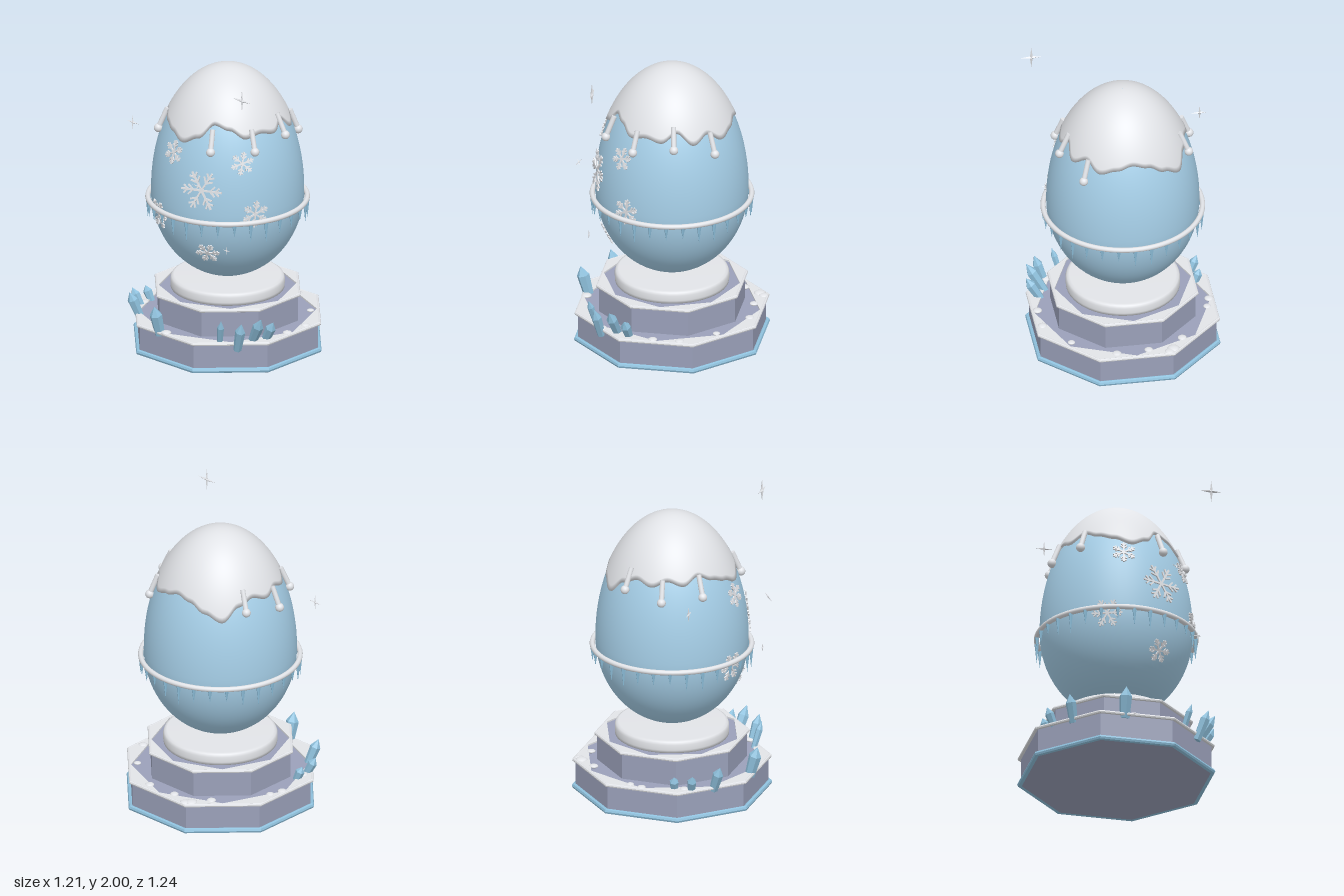
import * as THREE from 'three';
import { ParametricGeometry } from 'three/addons/geometries/ParametricGeometry.js';

const paint = (name, color, extra = {}) => {
  const m = new THREE.MeshStandardMaterial({ color, ...extra });
  m.name = name;
  return m;
};
const snow = paint('snow white', 0xe6e8ec);
const snowSheet = snow;
snowSheet.side = THREE.DoubleSide;
const eggBlue = paint('egg blue', 0xa6cfe8);
const ice = paint('ice blue', 0x8fc1dd, { flatShading: true });
const stone = paint('slate lilac', 0x9aa0b9, { flatShading: true });

const UP = new THREE.Vector3(0, 1, 0);
const FRONT = new THREE.Vector3(0, 0, 1);
const V = (x, y, z) => new THREE.Vector3(x, y, z);
const COS8 = Math.cos(Math.PI / 8);
const MID = 1.05; // height of the egg's widest ring

function add(parent, name, geometry, material, x = 0, y = 0, z = 0) {
  const m = new THREE.Mesh(geometry, material);
  m.name = name;
  m.position.set(x, y, z);
  parent.add(m);
  return m;
}

// Point on the egg: angle a from the tip, heading t (0 = front), swollen by d
function eggPoint(a, t, d = 0) {
  const r = (0.495 + d) * Math.sin(a);
  const y = MID + ((Math.cos(a) > 0 ? 0.85 : 0.575) + d) * Math.cos(a);
  return V(r * Math.sin(t), y, r * Math.cos(t));
}
const eggAngle = (y) => Math.acos((y - MID) / (y > MID ? 0.85 : 0.575));

function eggNormal(p) {
  const h = p.y > MID ? 0.85 : 0.575;
  return V(p.x / 0.245, (p.y - MID) / (h * h), p.z / 0.245).normalize();
}

// Octagonal ring, flat sides facing the axes
function octTrim(parent, name, apothem, tube, y, material) {
  const g = new THREE.TorusGeometry((apothem - tube) / COS8, tube, 8, 8);
  g.rotateZ(Math.PI / 8).rotateX(Math.PI / 2);
  add(parent, name, g.toNonIndexed(), material, 0, y).geometry.computeVertexNormals();
}

// One tier: stone drum, white edge and a snow sheet with a turned octagon hole
function tier(parent, name, apothem, rim, y0, y1) {
  const g = new THREE.CylinderGeometry(apothem / COS8, apothem / COS8, y1 - y0, 8);
  add(parent, name, g.rotateY(Math.PI / 8), stone, 0, (y0 + y1) / 2);
  octTrim(parent, name + 'SnowEdge', rim, 0.012, y1, snow);
  const ring = (r, turn) => Array.from({ length: 8 }, (_, i) => {
    const a = i * Math.PI / 4 + turn;
    return new THREE.Vector2(r * Math.cos(a), r * Math.sin(a));
  });
  const s = new THREE.Shape(ring((rim - 0.008) / COS8, Math.PI / 8));
  s.holes.push(new THREE.Path(ring(rim - 0.02, 0)));
  const sheet = new THREE.ExtrudeGeometry(s, { depth: 0.01, bevelEnabled: false });
  add(parent, name + 'SnowSheet', sheet.rotateX(-Math.PI / 2), snow, 0, y1);
}

// Six-armed snowflake lying on the egg
function snowflake(parent, t, y, size, spin) {
  const g = new THREE.Group();
  g.name = 'snowflake';
  const w = 0.007 + size * 0.04;
  for (let i = 0; i < 6; i++) {
    const arm = new THREE.Group();
    arm.rotation.z = i * Math.PI / 3 + spin;
    add(arm, 'flakeArm', new THREE.BoxGeometry(size, w, 0.009), snow, size / 2);
    for (const at of [0.42, 0.68]) for (const side of [-1, 1]) {
      const len = size * (at < 0.5 ? 0.34 : 0.28);
      const b = new THREE.BoxGeometry(len, w * 0.85, 0.009).translate(len / 2, 0, 0);
      add(arm, 'flakeBranch', b, snow, size * at).rotation.z = side * Math.PI / 4;
    }
    g.add(arm);
  }
  const p = eggPoint(eggAngle(y), t);
  const n = eggNormal(p);
  g.position.copy(p).addScaledVector(n, 0.006);
  g.lookAt(g.position.clone().add(n));
  parent.add(g);
}

function rod(parent, name, a, b, radius, material) {
  const d = b.clone().sub(a);
  const g = new THREE.CylinderGeometry(radius, radius, d.length(), 12);
  const m = add(parent, name, g, material);
  m.position.copy(a).add(b).multiplyScalar(0.5);
  m.quaternion.setFromUnitVectors(UP, d.normalize());
}

export function createModel() {
  const model = new THREE.Group();
  model.name = 'frostedEgg';
  const core = new THREE.Group();
  core.name = 'eggAndPedestal';
  core.position.set(-0.004, 0, -0.018);
  model.add(core);

  // Pedestal
  tier(core, 'lowerTier', 0.575, 0.597, 0.005, 0.2);
  tier(core, 'upperTier', 0.447, 0.466, 0.2, 0.38);
  octTrim(core, 'footTrim', 0.6, 0.018, 0.018, ice);
  const disc = [[0, 0.38], [0.368, 0.38], [0.37, 0.4], [0.37, 0.435], [0.362, 0.453], [0.345, 0.46], [0, 0.46]];
  add(core, 'snowDisc', new THREE.LatheGeometry(disc.map(p => new THREE.Vector2(...p)), 48), snow);

  // Egg
  const profile = Array.from({ length: 49 }, (_, i) => {
    const p = eggPoint(Math.PI * (1 - i / 48), 0);
    return new THREE.Vector2(Math.max(p.z, 0), p.y);
  });
  add(core, 'egg', new THREE.LatheGeometry(profile, 64), eggBlue);

  // Snow cap with a wavy edge, heights every 15 degrees from the front
  const edge = [1.49, 1.535, 1.625, 1.595, 1.54, 1.56, 1.54, 1.6, 1.52, 1.57, 1.51, 1.54,
    1.57, 1.545, 1.49, 1.44, 1.53, 1.57, 1.54, 1.58, 1.55, 1.6, 1.56, 1.53];
  const edgeY = (u) => {
    const f = (u % 1) * 24, i = Math.floor(f), k = (1 - Math.cos((f - i) * Math.PI)) / 2;
    return edge[i % 24] * (1 - k) + edge[(i + 1) % 24] * k;
  };
  const cap = new ParametricGeometry((u, v, target) => {
    const a = eggAngle(edgeY(u)) * (1 - Math.min(Math.max(v - 0.04, 0) / 0.96, 0.998));
    target.copy(eggPoint(a, u * Math.PI * 2, v < 0.04 ? 0.014 * v / 0.04 - 0.002 : 0.012));
  }, 144, 25);
  add(core, 'snowCap', cap, snowSheet);

  // Drips: a rod down the shell ending in a bead
  for (const [x, y, z] of [[0.215, 1.46, 0.37], [0.4, 1.455, 0.16], [0.42, 1.5, -0.105], [0.3, 1.44, -0.345],
    [-0.395, 1.49, -0.195], [-0.437, 1.45, 0.065], [-0.3, 1.47, 0.29]]) {
    const t = Math.atan2(x, z + 0.018);
    const low = eggPoint(eggAngle(y), t, 0.02), high = eggPoint(eggAngle(y + 0.135), t, 0.018);
    rod(core, 'dripRod', low, high, 0.017, snow);
    add(core, 'dripBead', new THREE.SphereGeometry(0.029, 16, 12), snow, ...low.toArray());
  }

  // Belt with hanging icicles
  const belt = new THREE.TorusGeometry(0.515, 0.017, 12, 72).rotateX(Math.PI / 2);
  add(core, 'belt', belt, snow, 0, 1.0);
  for (let i = 0; i < 30; i++) {
    const t = i * Math.PI / 15, len = [0.125, 0.1, 0.08, 0.14, 0.09][(i * 3) % 5];
    const g = new THREE.ConeGeometry(0.015, len, 6).rotateX(Math.PI);
    add(core, 'icicle', g, ice, 0.515 * Math.sin(t), 0.992 - len / 2, 0.515 * Math.cos(t));
  }

  // Snowflakes: heading in degrees, height, size, spin
  for (const [deg, y, size, spin] of [[-7, 1.415, 0.08, 0.5], [55, 1.395, 0.078, 0.3], [23, 1.215, 0.138, 0],
    [-20, 0.965, 0.1, 0], [26, 0.77, 0.08, 0.1], [64, 1.055, 0.09, 0.4]]) {
    snowflake(core, deg * Math.PI / 180, y, size, spin);
  }

  // Ice crystals: foot, tip, radius
  for (const [foot, tip, r] of [
    [[0.5, 0.18, 0.17], [0.595, 0.34, 0.19], 0.034], [[0.46, 0.18, 0.25], [0.58, 0.385, 0.29], 0.036],
    [[0.44, 0.16, 0.365], [0.51, 0.365, 0.4], 0.034], [[0.335, 0.19, 0.42], [0.385, 0.37, 0.46], 0.023],
    [[-0.08, 0.18, 0.54], [-0.08, 0.385, 0.595], 0.042], [[-0.385, 0.18, 0.4], [-0.425, 0.355, 0.46], 0.035],
    [[-0.48, 0.18, 0.28], [-0.54, 0.315, 0.31], 0.03], [[-0.495, 0.18, 0.17], [-0.54, 0.295, 0.185], 0.03]]) {
    const a = V(...foot), d = V(...tip).sub(a), h = d.length();
    const pts = [[0, 0], [r * 0.8, 0], [r, h * 0.7], [0, h]].map(p => new THREE.Vector2(...p));
    const m = add(model, 'iceCrystal', new THREE.LatheGeometry(pts, 6), ice, ...foot);
    m.quaternion.setFromUnitVectors(UP, d.normalize());
  }

  // Snow lumps on the ledge
  for (const [x, z, r] of [[-0.22, -0.58, 0.032], [-0.25, -0.55, 0.04], [-0.325, -0.44, 0.03], [-0.09, -0.54, 0.028],
    [0.12, -0.55, 0.03], [0.39, -0.38, 0.024], [0.545, -0.165, 0.03], [0.55, 0.01, 0.03], [-0.54, -0.115, 0.026],
    [-0.565, -0.03, 0.03], [-0.5, 0.24, 0.03], [-0.02, 0.545, 0.034], [0.44, 0.36, 0.032]]) {
    add(model, 'snowLump', new THREE.SphereGeometry(r, 14, 10), snow, x, 0.207, z).scale.y = 0.4;
  }

  // Floating four-point sparkles
  for (const [x, y, z, r, tilt, turn] of [[0.525, 1.92, 0.412, 0.077, 0, 0], [-0.555, 1.45, 0.29, 0.055, 0, 0],
    [0.425, 0.865, 0.45, 0.034, 0, 0], [0.262, 1.295, 0.547, 0.038, -0.7, 0.5]]) {
    const s = new THREE.Group();
    s.name = 'sparkle';
    s.position.set(x, y, z);
    s.rotation.set(tilt, turn, 0);
    const w = r * 0.13;
    add(s, 'sparkleUpright', new THREE.OctahedronGeometry(1), snow).scale.set(w, r, w);
    add(s, 'sparkleCross', new THREE.OctahedronGeometry(1), snow).scale.set(r, w, w);
    model.add(s);
  }
  return model;
}
